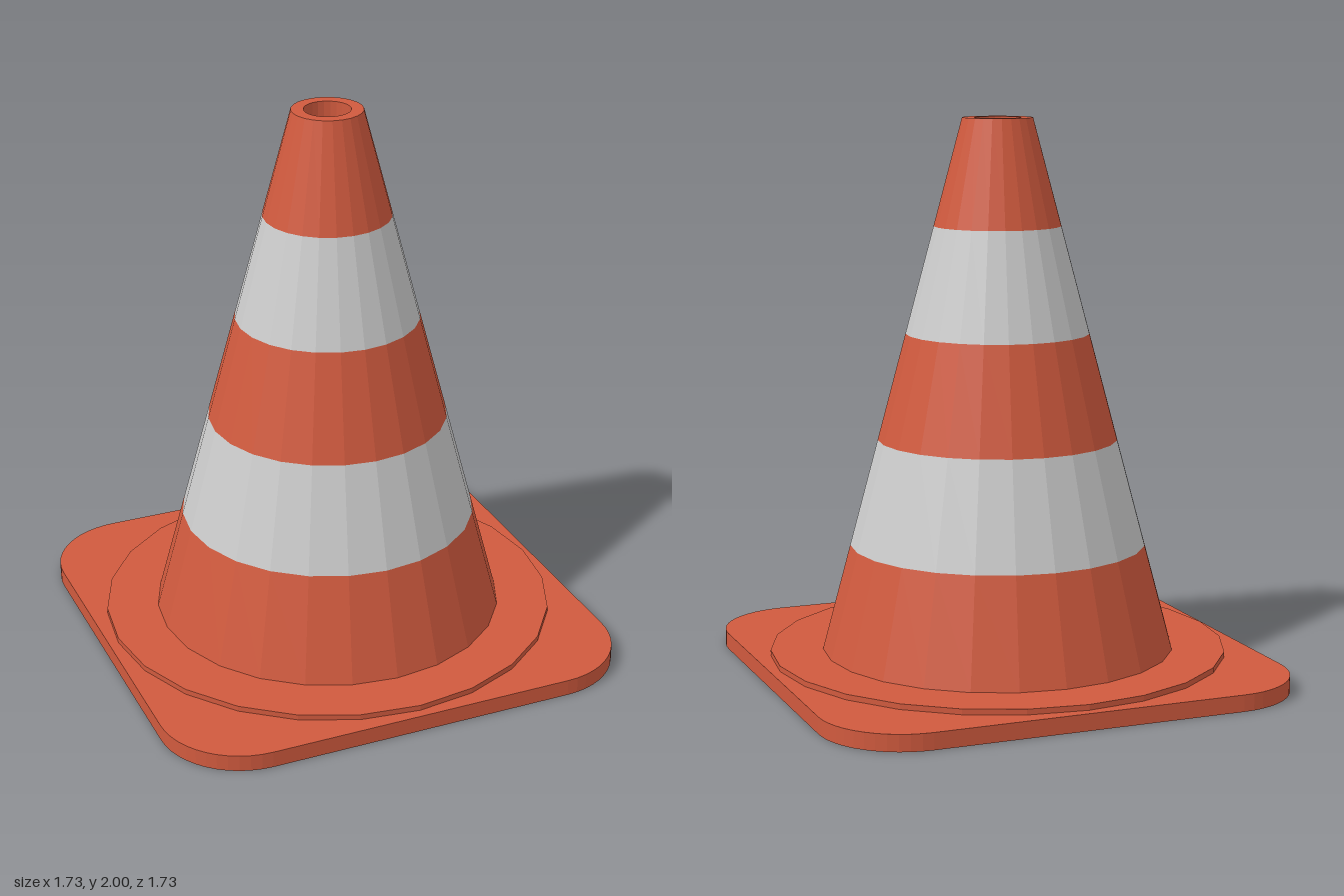
import * as THREE from 'three';

const SIDES = 24;
const orange = new THREE.MeshStandardMaterial({ color: 0xd05a3e, flatShading: true });
const grey = new THREE.MeshStandardMaterial({ color: 0xcccccc, flatShading: true });

export function createModel() {
  const group = new THREE.Group();
  const add = (name, geometry, material) => {
    const mesh = new THREE.Mesh(geometry, material);
    mesh.name = name;
    group.add(mesh);
    return mesh;
  };
  const lathe = (points) =>
    new THREE.LatheGeometry(points.map(([r, y]) => new THREE.Vector2(r, y)), SIDES);

  // Square base plate with rounded corners
  const h = 0.865, r = 0.3, k = h - r;
  const outline = new THREE.Shape();
  outline.absarc(k, k, r, 0, Math.PI / 2);
  outline.absarc(-k, k, r, Math.PI / 2, Math.PI);
  outline.absarc(-k, -k, r, Math.PI, Math.PI * 1.5);
  outline.absarc(k, -k, r, Math.PI * 1.5, Math.PI * 2);
  outline.closePath();
  const plate = new THREE.ExtrudeGeometry(outline, { depth: 0.06, bevelEnabled: false, curveSegments: 6 });
  plate.rotateX(-Math.PI / 2);
  add('basePlate', plate, orange);

  // Low round step under the cone
  add('baseDisc', lathe([[0.83, 0.06], [0.83, 0.08], [0, 0.08]]), orange);

  // Cone wall in five alternating bands
  const y0 = 0.08, y1 = 2, r0 = 0.64, r1 = 0.127, bands = 5;
  const at = (t) => [THREE.MathUtils.lerp(r0, r1, t), THREE.MathUtils.lerp(y0, y1, t)];
  for (let i = 0; i < bands; i++) {
    const striped = i % 2 === 1;
    add(striped ? 'reflectiveBand' : 'coneBand',
      lathe([at(i / bands), at((i + 1) / bands)]), striped ? grey : orange);
  }

  // Rim at the tip and the bore running down to the base
  add('rimAndBore', lathe([[r1, y1], [0.083, y1], [0.083, y0]]), orange);

  return group;
}
